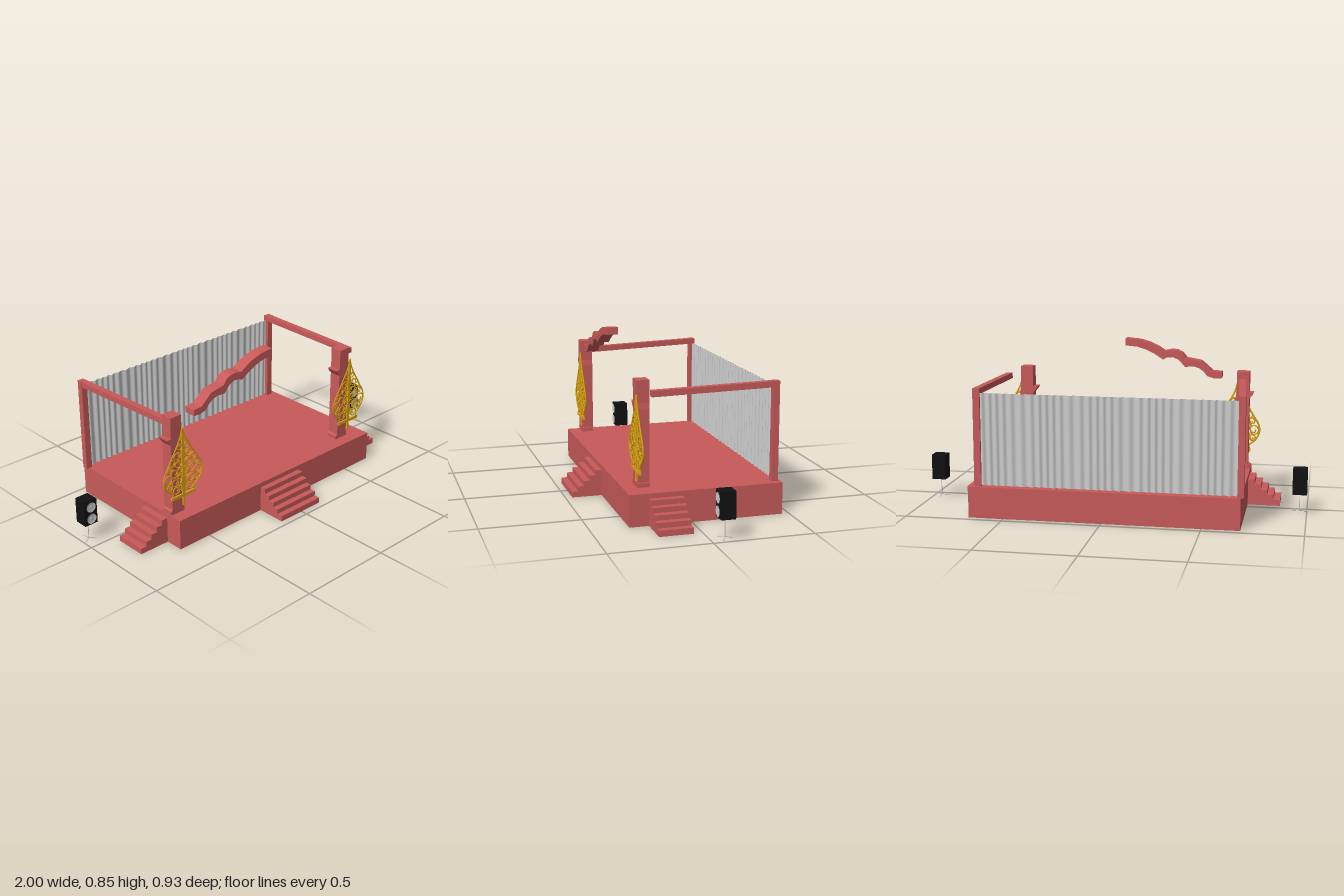
import * as THREE from 'three';

const mat = (color, side = THREE.FrontSide) => new THREE.MeshStandardMaterial({ color, side });
const red = mat(0xc85a5a), gold = mat(0xe0a810), black = mat(0x111111), grey = mat(0xcccccc);
const cloth = mat(0xcccccc, THREE.DoubleSide);

function add(parent, name, geo, material) {
  const mesh = new THREE.Mesh(geo, material);
  mesh.name = name;
  parent.add(mesh);
  return mesh;
}

// box given by its limits on each axis
function block(parent, name, [x0, x1], [y0, y1], [z0, z1], material = red) {
  const geo = new THREE.BoxGeometry(x1 - x0, y1 - y0, z1 - z0);
  geo.translate((x0 + x1) / 2, (y0 + y1) / 2, (z0 + z1) / 2);
  return add(parent, name, geo, material);
}

function plate(points, z0, depth) {
  const shape = new THREE.Shape(points.map(([x, y]) => new THREE.Vector2(x, y)));
  return new THREE.ExtrudeGeometry(shape, { depth, bevelEnabled: false }).translate(0, 0, z0);
}

// flight of five solid steps climbing towards -z, ending at z = 0
function stairs(width, run) {
  const pts = [[0, 0], [run, 0]];
  for (let i = 0; i < 5; i++) {
    const y = 0.03 + i * 0.0263;
    pts.push([run * (1 - i / 5), y], [run * (1 - (i + 1) / 5), y]);
  }
  const geo = plate(pts, -width / 2, width);
  return geo.rotateY(-Math.PI / 2);
}

// rail from the rear post to the front, slanting in x and y
function beam(parent, name, xBack, xFront) {
  const geo = new THREE.BoxGeometry(0.033, 0.03, 0.64).translate(0, 0, -0.13);
  const p = geo.attributes.position;
  for (let i = 0; i < p.count; i++) {
    const t = (p.getZ(i) + 0.45) / 0.64;
    p.setXYZ(i, p.getX(i) + xBack + (xFront - xBack) * t, p.getY(i) + 0.645 - 0.013 * t, p.getZ(i));
  }
  geo.computeVertexNormals();
  add(parent, name, geo, red);
}

// pillar with plinth, sloped shoulder and a bracket on one side
function pillar() {
  return plate([
    [-0.047, 0.16], [0.037, 0.16], [0.037, 0.18], [0.035, 0.186], [0.035, 0.545], [0.03, 0.575],
    [0.03, 0.685], [-0.037, 0.685], [-0.037, 0.575], [-0.061, 0.575], [-0.056, 0.563],
    [-0.037, 0.54], [-0.037, 0.186], [-0.047, 0.18],
  ], 0.18, 0.063);
}

// leaf-shaped filigree ornament, centred on x = 0
function ornament() {
  const g = new THREE.Group();
  const wire = (name, pts, radius, n) => {
    const curve = new THREE.CatmullRomCurve3(pts.map(([x, y]) => new THREE.Vector3(x, y, 0)));
    add(g, name, new THREE.TubeGeometry(curve, n, radius, 4), gold);
  };
  const edge = [[0, 0.615], [0.018, 0.56], [0.052, 0.5], [0.088, 0.44], [0.117, 0.39],
    [0.121, 0.35], [0.1, 0.308], [0.066, 0.278], [0.07, 0.255]];
  // centre and radius of each scroll on one half
  const scrolls = [[0.093, 0.362, 0.024], [0.048, 0.334, 0.02], [0.053, 0.385, 0.022],
    [0.08, 0.412, 0.016], [0.03, 0.43, 0.018], [0.065, 0.446, 0.018], [0.035, 0.475, 0.019],
    [0.044, 0.29, 0.02], [0.083, 0.32, 0.016], [0.02, 0.52, 0.015], [0.018, 0.36, 0.014],
    [0.017, 0.3, 0.014], [0.021, 0.395, 0.013]];
  for (const s of [-1, 1]) {
    wire('ornamentRim', edge.map(([x, y]) => [x * s, y]), 0.0045, 40);
    for (const [cx, cy, r] of scrolls) {
      const pts = [];
      for (let i = 0; i <= 14; i++) {
        const a = i * 0.65 + cx * 40, k = r * (1 - 0.75 * Math.max(0, i - 8) / 6);
        pts.push([s * (cx + k * Math.cos(a)), cy + k * Math.sin(a)]);
      }
      wire('ornamentScroll', pts, 0.0036, 28);
    }
  }
  const half = [[0.006, 0.195], [0.006, 0.26], [0.012, 0.3], [0.017, 0.325], [0.008, 0.35],
    [0.007, 0.43], [0.012, 0.47], [0.006, 0.52], [0.007, 0.57], [0.001, 0.62]];
  const mirrored = half.map(([x, y]) => [-x, y]).reverse();
  add(g, 'ornamentSpine', plate([...half, ...mirrored], -0.004, 0.008), gold);
  block(g, 'ornamentFoot', [-0.076, 0.076], [0.243, 0.259], [-0.004, 0.004], gold);
  return g;
}

// loudspeaker on a tripod
function speaker() {
  const g = new THREE.Group();
  block(g, 'speakerCabinet', [-0.037, 0.037], [0.102, 0.235], [-0.11, -0.038], black);
  for (const y of [0.136, 0.2]) {
    add(g, 'speakerRing', new THREE.TorusGeometry(0.027, 0.003, 8, 32).translate(0, y, -0.037), black);
    const cone = new THREE.LatheGeometry([[0, 0.003], [0.009, 0.002], [0.012, -0.001], [0.027, 0.003]]
      .map(([x, h]) => new THREE.Vector2(x, h)), 32);
    add(g, 'speakerCone', cone.rotateX(Math.PI / 2).translate(0, y, -0.036), cloth);
  }
  add(g, 'standPole', new THREE.CylinderGeometry(0.0022, 0.0022, 0.095, 10).translate(0, 0.0555, -0.07), grey);
  for (let i = 0; i < 3; i++) {
    const a = Math.PI / 6 + i * Math.PI * 2 / 3;
    const leg = new THREE.LineCurve3(new THREE.Vector3(0, 0.012, -0.07),
      new THREE.Vector3(0.044 * Math.cos(a), 0.003, -0.07 + 0.044 * Math.sin(a)));
    add(g, 'standLeg', new THREE.TubeGeometry(leg, 1, 0.002, 6), grey);
  }
  return g;
}

export function createModel() {
  const root = new THREE.Group();
  root.name = 'stage';

  block(root, 'platform', [-0.69, 0.68], [0, 0.16], [-0.465, 0.31]);

  // stairs at the front and both sides
  add(root, 'frontStairs', stairs(0.275, 0.155), red).position.set(-0.0075, 0, 0.31);
  for (const [name, x, turn] of [['leftStairs', 0.68, 1], ['rightStairs', -0.69, -1]]) {
    const flight = add(root, name, stairs(0.168, 0.168), red);
    flight.position.set(x, 0, 0.129);
    flight.rotation.y = turn * Math.PI / 2;
  }

  // front pillars, their ornaments, and speakers
  for (const [side, px, ox, sx] of [['left', 0.54, 0.578, 0.955], ['right', -0.64, -0.61, -0.963]]) {
    add(root, side + 'Pillar', pillar(), red).position.x = px;
    const leaf = ornament();
    leaf.name = side + 'Ornament';
    leaf.position.set(ox, 0, 0.2475);
    const box = speaker();
    box.name = side + 'Speaker';
    box.position.x = sx;
    root.add(leaf, box);
  }

  // rear posts and side rails
  block(root, 'leftPost', [0.615, 0.65], [0.16, 0.66], [-0.452, -0.42]);
  block(root, 'rightPost', [-0.705, -0.672], [0.16, 0.66], [-0.452, -0.42]);
  beam(root, 'leftRail', 0.632, 0.636);
  beam(root, 'rightRail', -0.688, -0.638);

  // scalloped half arch
  const top = [[-0.53, 0.68], [-0.48, 0.683], [-0.445, 0.713], [-0.42, 0.735], [-0.386, 0.742],
    [-0.338, 0.75], [-0.318, 0.775], [-0.29, 0.79], [-0.258, 0.793], [-0.22, 0.785],
    [-0.185, 0.807], [-0.14, 0.828], [-0.087, 0.843], [-0.012, 0.85]];
  const under = [[-0.012, 0.812], [-0.076, 0.806], [-0.125, 0.791], [-0.17, 0.769], [-0.215, 0.74],
    [-0.235, 0.751], [-0.265, 0.754], [-0.298, 0.742], [-0.333, 0.703], [-0.375, 0.708],
    [-0.41, 0.698], [-0.434, 0.68], [-0.452, 0.657], [-0.49, 0.646], [-0.53, 0.648]];
  add(root, 'arch', plate([...under, ...top], 0.18, 0.063).toNonIndexed(), red);

  // pleated backdrop between the posts
  const curtain = new THREE.PlaneGeometry(1.31, 0.47, 360, 1).translate(-0.025, 0.4, -0.437);
  const p = curtain.attributes.position;
  for (let i = 0; i < p.count; i++) {
    const x = p.getX(i);
    p.setZ(i, p.getZ(i) + 0.005 * Math.sin(x * 150 + 1.5 * Math.sin(x * 23)));
  }
  curtain.computeVertexNormals();
  add(root, 'curtain', curtain, cloth);

  return root;
}
